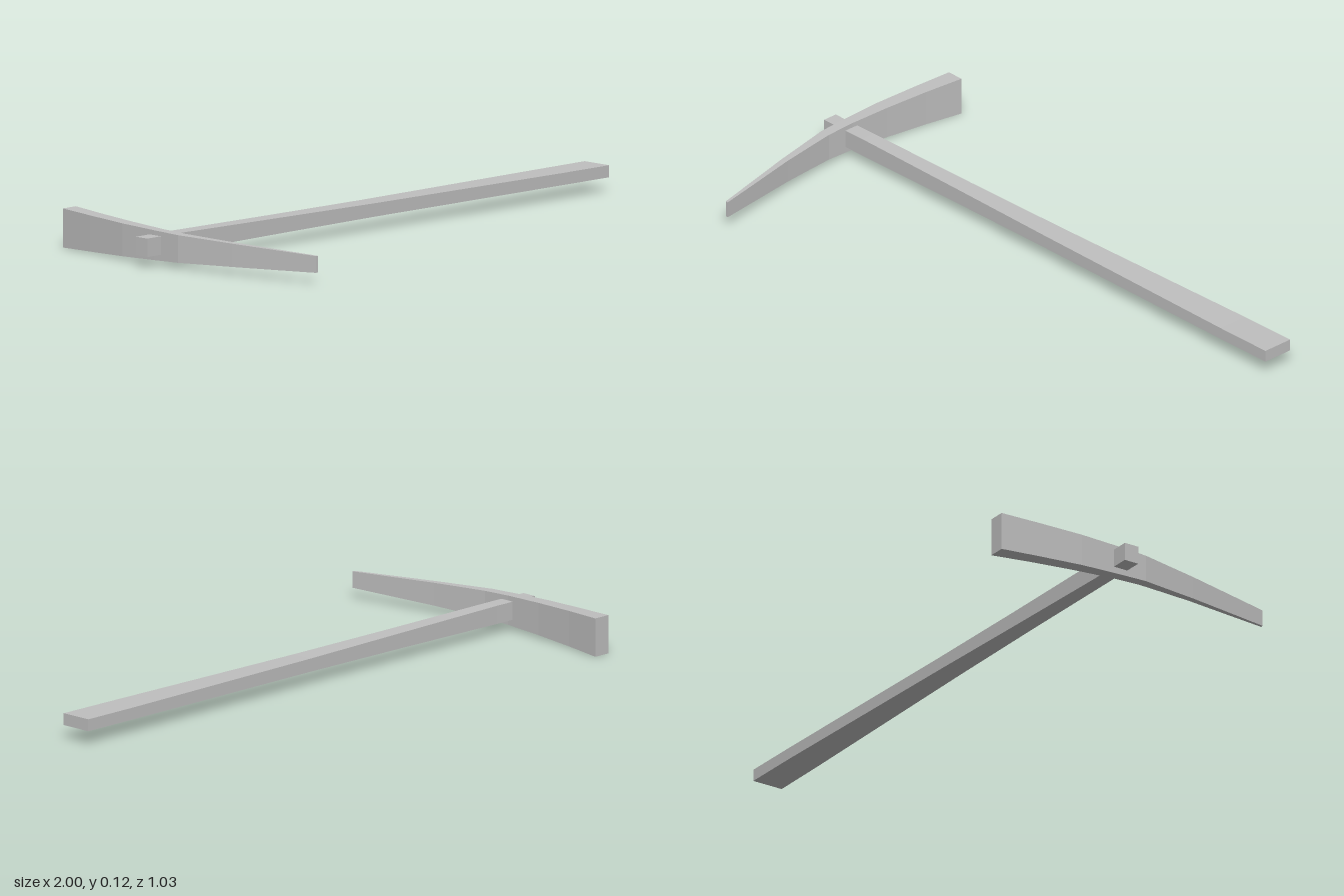
import * as THREE from 'three';

const steel = new THREE.MeshStandardMaterial({ color: 0xbfbfbf, flatShading: true });
steel.name = 'plain grey';

// Box along one axis whose cross-sections are placed by a list of rows
function loft(name, axis, rows, place) {
  const n = rows.length - 1;
  const seg = axis === 'x' ? [n, 1, 1] : [1, 1, n];
  const box = new THREE.BoxGeometry(1, 1, 1, ...seg);
  const p = box.attributes.position;
  const v = new THREE.Vector3();
  for (let i = 0; i < p.count; i++) {
    v.fromBufferAttribute(p, i);
    const row = rows[Math.round((v[axis] + 0.5) * n)];
    p.setXYZ(i, ...place(v, row));
  }
  const geometry = box.toNonIndexed();
  geometry.computeVertexNormals();
  const mesh = new THREE.Mesh(geometry, steel);
  mesh.name = name;
  return mesh;
}

export function createModel() {
  const group = new THREE.Group();
  group.name = 'pickaxe';

  // Handle: x, height, depth; flattens and widens toward the grip end
  const handleRows = [
    [-1, 0.058, 0.05],
    [-0.83, 0.058, 0.05],
    [-0.4, 0.049, 0.06],
    [0, 0.042, 0.074],
    [0.8, 0.038, 0.104],
    [1, 0.038, 0.106],
  ];
  group.add(loft('handle', 'x', handleRows, (v, [x, h, d]) =>
    [x, 0.064 + v.y * h, -0.086 + v.z * d]));

  // Curved head: z, outer x, inner x; height tapers evenly from blade to point
  const headRows = [
    [-0.513, -0.914, -0.857],
    [-0.38, -0.927, -0.877],
    [-0.23, -0.939, -0.894],
    [-0.09, -0.94, -0.904],
    [0.01, -0.938, -0.904],
    [0.1, -0.922, -0.894],
    [0.21, -0.903, -0.881],
    [0.36, -0.872, -0.856],
    [0.513, -0.84, -0.831],
  ];
  group.add(loft('head', 'z', headRows, (v, [z, x0, x1]) => {
    const h = 0.0875 - 0.0682 * z;
    return [(x0 + x1) / 2 + v.x * (x1 - x0), 0.0615 + v.y * h, z];
  }));

  return group;
}
